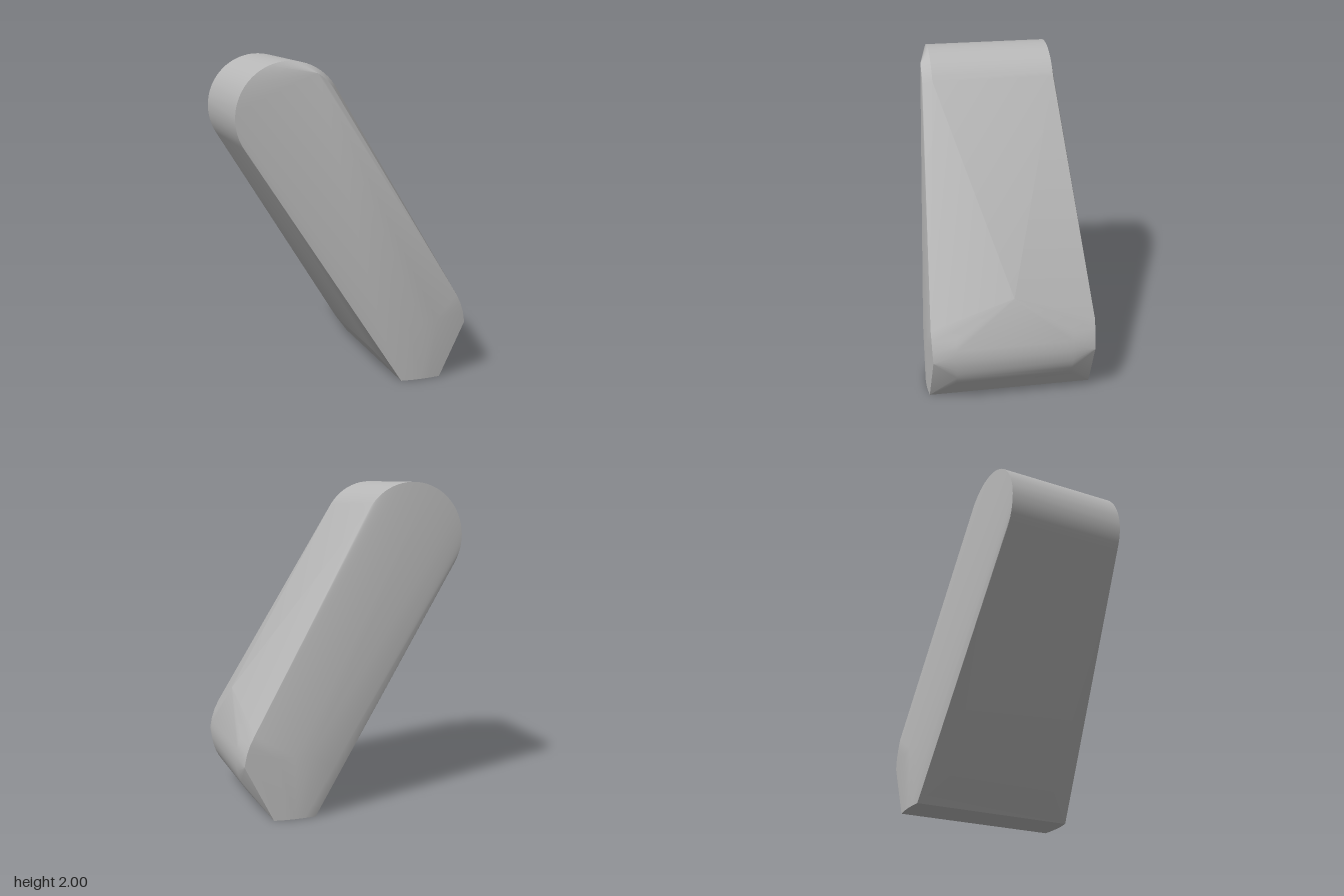
import * as THREE from 'three';
import { ConvexGeometry } from 'three/addons/geometries/ConvexGeometry.js';
import { toCreasedNormals } from 'three/addons/utils/BufferGeometryUtils.js';

// Points of a circular arc in a plane of constant z (angles in degrees)
function arc(cx, cy, r, from, to, steps, z) {
  const points = [];
  for (let i = 0; i <= steps; i++) {
    const a = THREE.MathUtils.degToRad(from + (to - from) * i / steps);
    points.push(new THREE.Vector3(cx + r * Math.cos(a), cy + r * Math.sin(a), z));
  }
  return points;
}

export function createModel() {
  const group = new THREE.Group();
  const grey = new THREE.MeshStandardMaterial({ color: 0xb8b8b8 });
  grey.name = 'grey';

  // Ridge apex low on the sloping face
  const points = [new THREE.Vector3(0.66, 0.72, 0)];

  for (const s of [-1, 1]) {
    // Round head and rounded heel
    points.push(...arc(-0.4, 1.67, 0.33, 33, 212, 32, s * 0.38));
    points.push(...arc(0.4, 0.35, 0.322, -37, 25, 10, s * 0.36));
    points.push(...arc(0.4, 0.35, 0.322, 212, 222, 3, s * 0.36));

    // Gently bulging sides and the flat foot
    const side = [
      [0.64, 0.53, 0.507], [0.67, 0.47, 0.506], [0.69, 0.41, 0.505], [0.703, 0.34, 0.502],
      [0.53, 0, 0.515], [0.46, 0, 0.523], [0.4, 0, 0.525], [0.34, 0, 0.523], [0.27, 0, 0.515],
      [0.4, 0.38, 0.527], [0.5, 0.38, 0.524], [0.3, 0.38, 0.524], [0.15, 0.3, 0.511],
    ];
    for (const [x, y, z] of side) points.push(new THREE.Vector3(x, y, s * z));
  }

  // Raised shoulder on the front of the head
  points.push(...arc(-0.4, 1.67, 0.3, 33, 60, 6, 0.44));

  const body = new THREE.Mesh(toCreasedNormals(new ConvexGeometry(points), 0.35), grey);
  body.name = 'leaningBody';
  group.add(body);
  return group;
}
